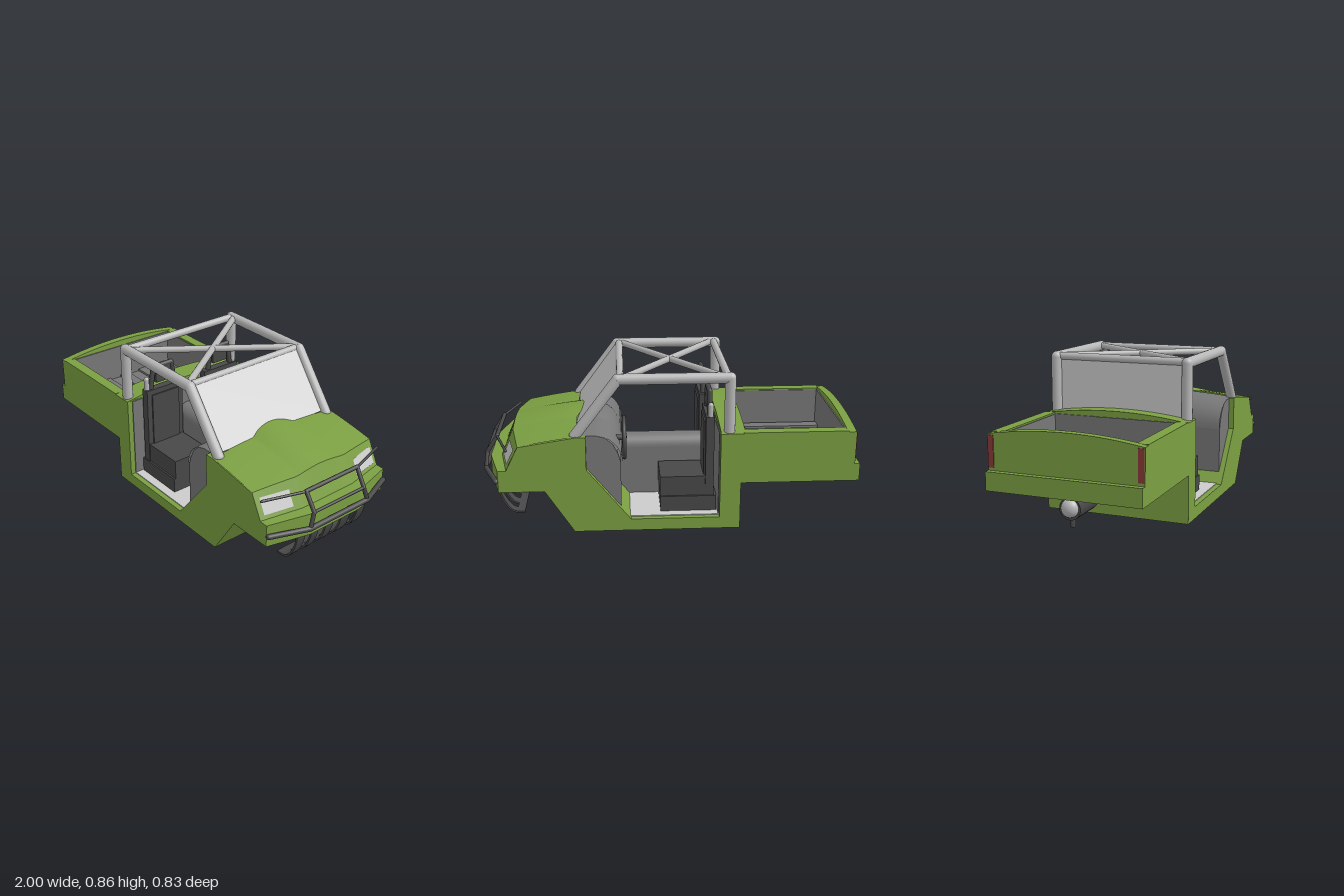
import * as THREE from 'three';
import { toCreasedNormals } from 'three/addons/utils/BufferGeometryUtils.js';

const mat = (color, side = THREE.FrontSide) => new THREE.MeshStandardMaterial({ color, side });
const GREEN = mat(0x7b9f42), GREEN2 = mat(0x7b9f42, THREE.DoubleSide);
const DARK = mat(0x484848), GREY = mat(0x777777), GREY2 = mat(0x777777, THREE.DoubleSide);
const LIGHT = mat(0xcccccc), CAGE = mat(0xb8b8b8), RED = mat(0x8a3a3a);

export function createModel() {
  const root = new THREE.Group();
  const add = (name, geo, material, parent = root) => {
    const m = new THREE.Mesh(geo, material);
    m.name = name;
    parent.add(m);
    return m;
  };
  const group = (name) => {
    const g = new THREE.Group();
    g.name = name;
    root.add(g);
    return g;
  };
  // Box given by its limits on each axis
  const box = (name, [x0, x1], [y0, y1], [z0, z1], material, parent) => add(name,
    new THREE.BoxGeometry(x1 - x0, y1 - y0, z1 - z0)
      .translate((x0 + x1) / 2, (y0 + y1) / 2, (z0 + z1) / 2), material, parent);
  const shape = (pts) => new THREE.Shape(pts.map(p => new THREE.Vector2(...p)));
  // Side profile (x, y) extruded across z
  const slab = (pts, z0, z1) => new THREE.ExtrudeGeometry(shape(pts),
    { depth: z1 - z0, bevelEnabled: false }).translate(0, 0, z0);
  // Surface through one (x, y) profile for each z
  const loft = (zs, profile) => {
    const pos = [], idx = [];
    let n = 0;
    zs.forEach(z => {
      const p = profile(z);
      n = p.length;
      p.forEach(([x, y]) => pos.push(x, y, z));
    });
    for (let i = 0; i < zs.length - 1; i++) for (let j = 0; j < n - 1; j++) {
      const a = i * n + j, d = a + n;
      idx.push(a, d, a + 1, d, d + 1, a + 1);
    }
    const g = new THREE.BufferGeometry();
    g.setAttribute('position', new THREE.Float32BufferAttribute(pos, 3));
    g.setIndex(idx);
    return toCreasedNormals(g, 0.45);
  };
  // Round bar through points, with ball joints
  const bars = (name, pts, r, material, parent) => {
    const v = pts.map(p => new THREE.Vector3(...p));
    v.forEach((p, i) => {
      add(name + 'Joint', new THREE.SphereGeometry(r, 16, 10).translate(p.x, p.y, p.z), material, parent);
      if (!i) return;
      const d = p.clone().sub(v[i - 1]);
      const m = add(name, new THREE.CylinderGeometry(r, r, d.length(), 16), material, parent);
      m.position.copy(p).add(v[i - 1]).multiplyScalar(0.5);
      m.quaternion.setFromUnitVectors(new THREE.Vector3(0, 1, 0), d.normalize());
    });
  };
  const W = 0.405, lerp = THREE.MathUtils.lerp;

  // Body tub with door openings, bed floor and rear step
  add('body', slab([[-0.37, 0], [0.51, 0], [0.66, 0.235], [0.9, 0.235], [0.9, 0.355], [0.855, 0.355],
    [0.79, 0.484], [0.49, 0.531], [0.44, 0.531], [0.44, 0.35], [0.21, 0.065], [-0.26, 0.065], [-0.26, 0.535],
    [-0.38, 0.535], [-0.38, 0.3], [-0.96, 0.3], [-0.96, 0.355], [-1, 0.355], [-1, 0.26], [-0.37, 0.26]],
  -W, W), GREEN);

  // Hood with a centre bulge, angled nose and front bumper
  const crown = z => 1 - (z / W) ** 2;
  const bulge = z => Math.abs(z) < 0.14 ? Math.cos(z / 0.14 * Math.PI / 2) : 0;
  const rearY = z => 0.533 + 0.025 * crown(z) + 0.031 * bulge(z);
  const frontY = z => 0.486 + 0.02 * crown(z) + 0.012 * bulge(z);
  const taper = z => Math.min(1, (W - Math.abs(z)) / 0.235);
  const zs = [];
  for (let i = 0; i < 8; i++) zs.push(-W + 0.235 * i / 8);
  for (let i = 0; i <= 24; i++) zs.push(-0.17 + 0.34 * i / 24);
  for (let i = 1; i <= 8; i++) zs.push(0.17 + 0.235 * i / 8);
  add('hoodAndNose', loft(zs, z => {
    const f = taper(z), pts = [];
    const x0 = 0.49 - 0.04 * bulge(z), x1 = 0.79 + 0.045 * f;
    for (let i = 0; i <= 8; i++) {
      const t = i / 8;
      pts.push([lerp(x0, x1, t), lerp(rearY(z), frontY(z), t ** 1.25)]);
    }
    const xb = 0.9 + 0.06 * f;
    return [...pts, [0.855 + 0.045 * f, 0.358], [xb, 0.356], [xb, 0.234], [0.66, 0.234]];
  }), GREEN2);

  // Headlights lie on the angled corners of the nose
  for (const s of [-1, 1]) {
    const span = s > 0 ? [0.22, 0.38] : [-0.38, -0.22];
    add('headlight', loft(span, z => [0.46, 0.38].map(y => {
      const f = taper(z), t = (frontY(z) - y) / (frontY(z) - 0.358);
      return [lerp(0.79, 0.855, t) + 0.045 * f + 0.005, y];
    })), LIGHT);
  }

  // Cargo bed: side walls, arched end walls, grey liner and ribs
  const arch = (x0, x1, y0) => {
    const pts = [[-W, y0]];
    for (let i = 0; i <= 16; i++) {
      const z = -W + 2 * W * i / 16;
      pts.push([z, 0.535 + 0.035 * crown(z)]);
    }
    pts.push([W, y0]);
    return new THREE.ExtrudeGeometry(shape(pts), { depth: x1 - x0, bevelEnabled: false })
      .rotateY(Math.PI / 2).translate(x0, 0, 0);
  };
  add('tailgate', arch(-0.97, -0.925, 0.27), GREEN);
  add('bedFrontWall', arch(-0.39, -0.262, 0.27), GREEN);
  for (const s of [-1, 1]) {
    const side = (a, b) => [Math.min(s * a, s * b), Math.max(s * a, s * b)];
    box('bedSide', [-0.93, -0.38], [0.27, 0.54], side(0.345, W), GREEN);
    box('bedSideLiner', [-0.925, -0.39], [0.3, 0.532], side(0.34, 0.346), GREY);
    box('tailLight', [-0.974, -0.96], [0.37, 0.53], side(0.372, 0.402), RED);
  }
  for (const x of [-0.922, -0.393]) box('bedEndLiner', [x - 0.004, x + 0.004], [0.3, 0.535], [-0.342, 0.342], GREY);
  box('bedFloor', [-0.925, -0.39], [0.29, 0.325], [-0.345, 0.345], GREY);
  for (let i = 0; i < 5; i++) {
    const z = -0.28 + i * 0.14;
    box('bedRib', [-0.922, -0.392], [0.32, 0.338], [z - 0.033, z + 0.033], GREY);
  }

  // Cabin floor, rear lining, tunnel and dashboard
  box('cabinFloor', [-0.26, 0.22], [0.06, 0.07], [-0.375, 0.375], LIGHT);
  box('cabinRearLiner', [-0.262, -0.255], [0.065, 0.53], [-0.375, 0.375], GREY);
  box('tunnel', [-0.255, 0.27], [0.065, 0.34], [-0.07, 0.07], GREY);
  add('tunnelTop', new THREE.CylinderGeometry(0.07, 0.07, 0.525, 28).rotateZ(Math.PI / 2)
    .translate(0.0075, 0.34, 0), GREY);
  add('dashboard', slab([[0.26, 0.1], [0.26, 0.38], [0.275, 0.43], [0.3, 0.48], [0.34, 0.515], [0.39, 0.529],
    [0.48, 0.529], [0.48, 0.1]], -0.375, 0.375), GREY);
  add('dashboardTop', loft(zs.filter(z => Math.abs(z) < 0.38), z => {
    const pts = [];
    for (let i = 0; i <= 8; i++) {
      const a = i / 8 * Math.PI / 2;
      pts.push([0.4 - 0.148 * Math.cos(a), lerp(0.38, rearY(z) - 0.006, Math.sin(a))]);
    }
    return [...pts, [0.5, rearY(z) - 0.006]];
  }), GREY2);

  // Steering wheel
  const wheel = group('steeringWheel');
  add('rim', new THREE.TorusGeometry(0.108, 0.011, 12, 36).rotateY(Math.PI / 2), DARK, wheel);
  add('hub', new THREE.CylinderGeometry(0.03, 0.03, 0.02, 20).rotateZ(Math.PI / 2), DARK, wheel);
  for (const a of [0, 2.1, 4.2]) bars('spoke', [[0, 0, 0], [0, -Math.cos(a) * 0.105, Math.sin(a) * 0.105]], 0.008, DARK, wheel);
  bars('column', [[0, 0, 0], [0.13, 0, 0]], 0.015, DARK, wheel);
  wheel.position.set(0.24, 0.465, -0.23);

  // Two seats with hooped headrests
  for (const s of [-1, 1]) {
    const g = group('seat'), z = s * 0.2;
    box('base', [-0.25, 0.05], [0.068, 0.155], [z - 0.125, z + 0.125], DARK, g);
    box('cushion', [-0.2, 0.052], [0.155, 0.265], [z - 0.115, z + 0.115], DARK, g);
    box('backrest', [-0.235, -0.19], [0.155, 0.6], [z - 0.12, z + 0.12], DARK, g);
    box('backrestPad', [-0.2, -0.182], [0.265, 0.57], [z - 0.09, z + 0.09], DARK, g);
    box('headrest', [-0.225, -0.2], [0.63, 0.72], [z - 0.05, z + 0.05], DARK, g);
    bars('headrestHoop', [[-0.212, 0.6, z - 0.08], [-0.212, 0.725, z - 0.06],
      [-0.212, 0.725, z + 0.06], [-0.212, 0.6, z + 0.08]], 0.014, DARK, g);
    bars('beltPost', [[-0.215, 0.6, z + s * 0.105], [-0.215, 0.66, z + s * 0.105]], 0.015, CAGE, g);
  }

  // Roll cage and panes
  const cage = group('rollCage');
  for (const s of [-1, 1]) {
    const z = s * 0.371;
    bars('sideHoop', [[-0.307, 0.53, z], [-0.307, 0.829, z], [0.27, 0.829, z], [0.497, 0.53, z]], 0.029, CAGE, cage);
    bars('roofBrace', [[-0.28, 0.832, z], [0.25, 0.832, -z]], 0.018, CAGE, cage);
  }
  bars('rearCrossBar', [[-0.295, 0.832, -0.37], [-0.295, 0.832, 0.37]], 0.021, CAGE, cage);
  bars('frontCrossBar', [[0.258, 0.832, -0.37], [0.258, 0.832, 0.37]], 0.02, CAGE, cage);
  add('windshield', loft([-0.36, 0.36], () => [[0.275, 0.835], [0.49, 0.545]]), LIGHT);
  add('rearWindow', loft([-0.36, 0.36], () => [[-0.307, 0.535], [-0.307, 0.83]]), LIGHT);

  // Brush guard
  const guard = group('brushGuard');
  bars('lowerBar', [[0.91, 0.295, -0.4], [0.985, 0.295, -0.2], [0.985, 0.295, 0.2], [0.91, 0.295, 0.4]], 0.014, DARK, guard);
  bars('hoop', [[0.985, 0.295, -0.198], [0.978, 0.375, -0.172], [0.92, 0.467, -0.175],
    [0.92, 0.467, 0.175], [0.978, 0.375, 0.172], [0.985, 0.295, 0.198]], 0.011, DARK, guard);
  bars('middleBar', [[0.978, 0.375, -0.17], [0.978, 0.375, 0.17]], 0.008, DARK, guard);
  for (const s of [-1, 1]) bars('topBar', [[0.92, 0.465, s * 0.175], [0.85, 0.465, s * 0.398]], 0.007, DARK, guard);

  // Curved slotted skid plate
  const skid = group('skidPlate');
  const curve = new THREE.SplineCurve([[0.922, 0.235], [0.912, 0.17], [0.885, 0.105], [0.845, 0.06], [0.785, 0.052]]
    .map(p => new THREE.Vector2(...p)));
  const ribbon = (t0, t1, z0, z1) => {
    const outer = [], inner = [];
    for (let i = 0; i <= 10; i++) {
      const t = lerp(t0, t1, i / 10), p = curve.getPoint(t), d = curve.getTangent(t);
      outer.push([p.x - d.y * 0.005, p.y + d.x * 0.005]);
      inner.unshift([p.x + d.y * 0.005, p.y - d.x * 0.005]);
    }
    add('strip', slab([...outer, ...inner], z0, z1), DARK, skid);
  };
  ribbon(0, 0.12, -0.258, 0.222);
  ribbon(0.82, 1, -0.258, 0.222);
  for (const [a, b] of [[0.168, 0.222], [0.075, 0.123], [-0.03, 0.025], [-0.15, -0.085], [-0.258, -0.203]]) ribbon(0.1, 0.84, a, b);

  // Exhaust
  const exhaust = group('exhaust');
  const rod = (name, r, x0, x1, y) => add(name, new THREE.CylinderGeometry(r, r, x1 - x0, 28).rotateZ(Math.PI / 2)
    .translate((x0 + x1) / 2, y, 0), DARK, exhaust);
  rod('pipe', 0.027, -0.73, -0.36, 0.197);
  rod('muffler', 0.056, -0.915, -0.715, 0.191);
  add('mufflerCap', new THREE.SphereGeometry(0.046, 20, 14).scale(0.8, 1, 1).translate(-0.914, 0.195, 0), CAGE, exhaust);
  add('tailPipe', new THREE.CylinderGeometry(0.014, 0.014, 0.06, 16).translate(-0.885, 0.126, 0), DARK, exhaust);
  return root;
}
